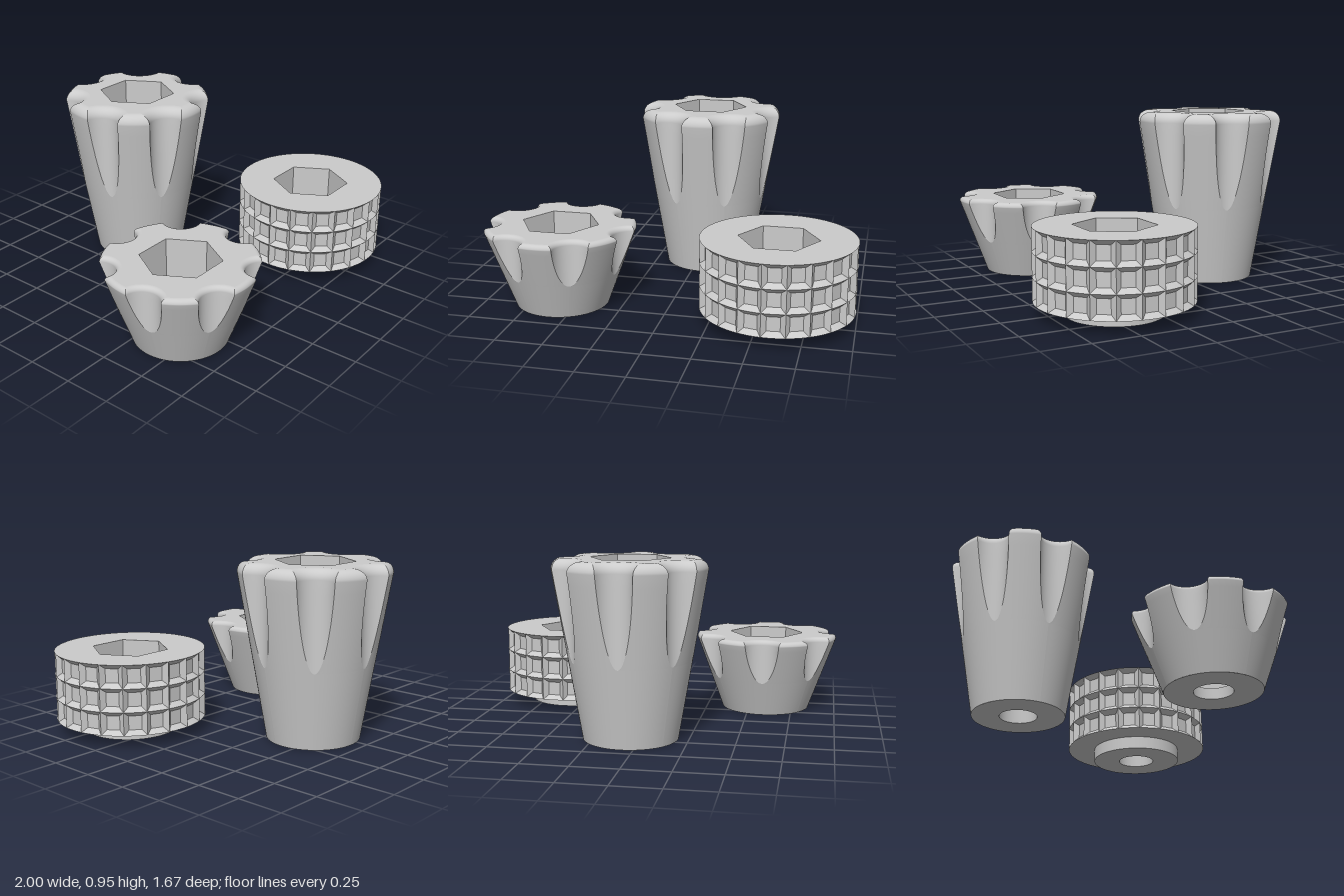
import * as THREE from 'three';

const smooth = new THREE.MeshStandardMaterial({ color: 0xcccccc, side: THREE.DoubleSide });
const flat = new THREE.MeshStandardMaterial({ color: 0xcccccc, side: THREE.DoubleSide, flatShading: true });

const HEX = 0.213, HOLE = 0.102, BASE = 0.253;

function add(group, name, geometry, material = smooth) {
  const mesh = new THREE.Mesh(geometry, material);
  mesh.name = name;
  group.add(mesh);
  return mesh;
}

// Points of a regular polygon or circle
const ring = (r, n) => Array.from({ length: n }, (_, i) =>
  new THREE.Vector2(r * Math.cos(i / n * Math.PI * 2), r * Math.sin(i / n * Math.PI * 2)));

// Horizontal plate at height y with one opening
function plate(outer, inner, y, faceDown = false) {
  const shape = new THREE.Shape(outer);
  shape.holes.push(new THREE.Path(inner));
  const g = new THREE.ShapeGeometry(shape);
  if (faceDown) g.rotateX(Math.PI / 2); else g.rotateX(-Math.PI / 2);
  return g.translate(0, y, 0);
}

// Open wall of a round or hexagonal opening between two heights
function wall(r, y0, y1, sides) {
  return new THREE.CylinderGeometry(r, r, y1 - y0, sides, 1, true, Math.PI / 2)
    .translate(0, (y0 + y1) / 2, 0);
}

// Hexagonal pocket above a round through hole, plus the underside
function addBore(group, height, floor) {
  add(group, 'hexPocket', wall(HEX, floor, height, 6), flat);
  add(group, 'pocketFloor', plate(ring(HEX, 6), ring(HOLE, 48), floor));
  add(group, 'throughHole', wall(HOLE, 0, floor, 48));
  add(group, 'underside', plate(ring(BASE, 64), ring(HOLE, 48), 0, true));
}

// Smooth surface through rows of points (each row runs counterclockwise seen from above)
function loft(rows) {
  const n = rows[0].length, pos = [], index = [];
  rows.forEach((row) => row.forEach((p) => pos.push(p.x, p.y, p.z)));
  for (let j = 0; j < rows.length - 1; j++) {
    for (let i = 0; i < n - 1; i++) {
      const a = j * n + i, b = a + 1, c = b + n, d = a + n;
      index.push(a, b, c, a, c, d);
    }
  }
  const g = new THREE.BufferGeometry();
  g.setAttribute('position', new THREE.Float32BufferAttribute(pos, 3));
  g.setIndex(index);
  g.computeVertexNormals();
  return g;
}

// Tapered knob with seven vertical scoops and a rounded top edge
function flutedKnob(name, height, fillet, floor) {
  const group = new THREE.Group();
  group.name = name;
  const count = 7, d = 0.423, scoop = 0.097, rTop = 0.408, shoulder = height - fillet;
  const step = Math.PI * 2 / count;
  const start = (d - scoop - BASE) / (rTop - BASE) * shoulder;

  // Levels: height, cone radius and scoop radius
  const levels = [];
  const level = (y, inset) => levels.push({
    y, a: scoop + inset, r: BASE + (rTop - BASE) * Math.min(y / shoulder, 1) - inset });
  level(0, 0);
  for (let i = 0; i <= 14; i++) level(start + (shoulder - start) * (i / 14) ** 2, 0);
  for (let i = 1; i <= 8; i++) {
    const t = i / 8 * Math.PI / 2;
    level(shoulder + fillet * Math.sin(t), fillet * (1 - Math.cos(t)));
  }

  const acos = (v) => Math.acos(THREE.MathUtils.clamp(v, -1, 1));
  const fluteRow = ({ y, r, a }) => {
    const b = acos((d * d + a * a - r * r) / (2 * d * a));
    return Array.from({ length: 17 }, (_, i) => {
      const t = (i / 8 - 1) * b;
      return new THREE.Vector3(d - a * Math.cos(t), y, -a * Math.sin(t));
    });
  };
  const landRow = ({ y, r, a }) => {
    const f = r <= d - a + 1e-6 ? 0 : acos((r * r + d * d - a * a) / (2 * r * d));
    return Array.from({ length: 13 }, (_, i) => {
      const t = f + (step - 2 * f) * i / 12;
      return new THREE.Vector3(r * Math.cos(t), y, -r * Math.sin(t));
    });
  };

  const flute = loft(levels.slice(1).map(fluteRow));
  const land = loft(levels.map(landRow));
  const rim = [];
  const top = levels[levels.length - 1];
  const profile = [...fluteRow(top), ...landRow(top).slice(1, -1)];
  for (let k = 0; k < count; k++) {
    const angle = Math.PI / 2 + k * step;
    add(group, 'scoop', flute).rotation.y = angle;
    add(group, 'gripRib', land).rotation.y = angle;
    profile.forEach((p) => rim.push(
      new THREE.Vector2(p.x, -p.z).rotateAround(new THREE.Vector2(), angle)));
  }
  add(group, 'topFace', plate(rim, ring(HEX, 6), height));
  addBore(group, height, floor);
  return group;
}

// Thumb wheel with rows of square dimples around the rim
function dimpledWheel(name) {
  const group = new THREE.Group();
  group.name = name;
  const R = 0.409, depth = 0.027, y0 = 0.07, height = 0.447, rows = 3, columns = 21, arc = 4;
  const step = Math.PI * 2 / columns, rowH = (height - y0) / rows;
  const pos = [];
  const quad = (a, b, c, e) => [a, b, c, a, c, e].forEach((p) => pos.push(p.x, p.y, p.z));
  const at = (r, t, y) => new THREE.Vector3(r * Math.cos(t), y, -r * Math.sin(t));

  for (let j = 0; j < rows; j++) {
    for (let k = 0; k < columns; k++) {
      const t0 = (k - 0.5) * step, lo = y0 + j * rowH, hi = lo + rowH;
      const inLo = lo + rowH * 0.2, inHi = hi - rowH * 0.2, r = R - depth;
      const a = at(r, t0 + step * 0.2, inLo), b = at(r, t0 + step * 0.8, inLo);
      const c = at(r, t0 + step * 0.8, inHi), e = at(r, t0 + step * 0.2, inHi);
      quad(a, b, c, e);
      quad(at(R, t0, lo), a, e, at(R, t0, hi));
      quad(b, at(R, t0 + step, lo), at(R, t0 + step, hi), c);
      for (let i = 0; i < arc; i++) {
        const u = i / arc, v = (i + 1) / arc;
        quad(at(R, t0 + step * u, lo), at(R, t0 + step * v, lo), a.clone().lerp(b, v), a.clone().lerp(b, u));
        quad(e.clone().lerp(c, u), e.clone().lerp(c, v), at(R, t0 + step * v, hi), at(R, t0 + step * u, hi));
      }
    }
  }
  const rim = new THREE.BufferGeometry();
  rim.setAttribute('position', new THREE.Float32BufferAttribute(pos, 3));
  rim.computeVertexNormals();
  add(group, 'dimpledRim', rim, flat);

  const edge = ring(R, columns * arc).map((p) => p.rotateAround(new THREE.Vector2(), step / 2));
  add(group, 'topFace', plate(edge, ring(HEX, 6), height));
  add(group, 'lowerFace', plate(edge, ring(BASE, 64), y0, true));
  add(group, 'boss', wall(BASE, 0, y0, 64));
  addBore(group, height, 0.27);
  return group;
}

export function createModel() {
  const model = new THREE.Group();
  model.name = 'knobSet';
  const tall = flutedKnob('tallKnob', 0.953, 0.055, 0.25);
  tall.position.set(0.06, 0, -0.437);
  const short = flutedKnob('shortKnob', 0.447, 0.026, 0.06);
  short.position.set(-0.592, 0, 0.414);
  const wheel = dimpledWheel('thumbWheel');
  wheel.position.set(0.589, 0, 0.429);
  model.add(tall, short, wheel);
  return model;
}
